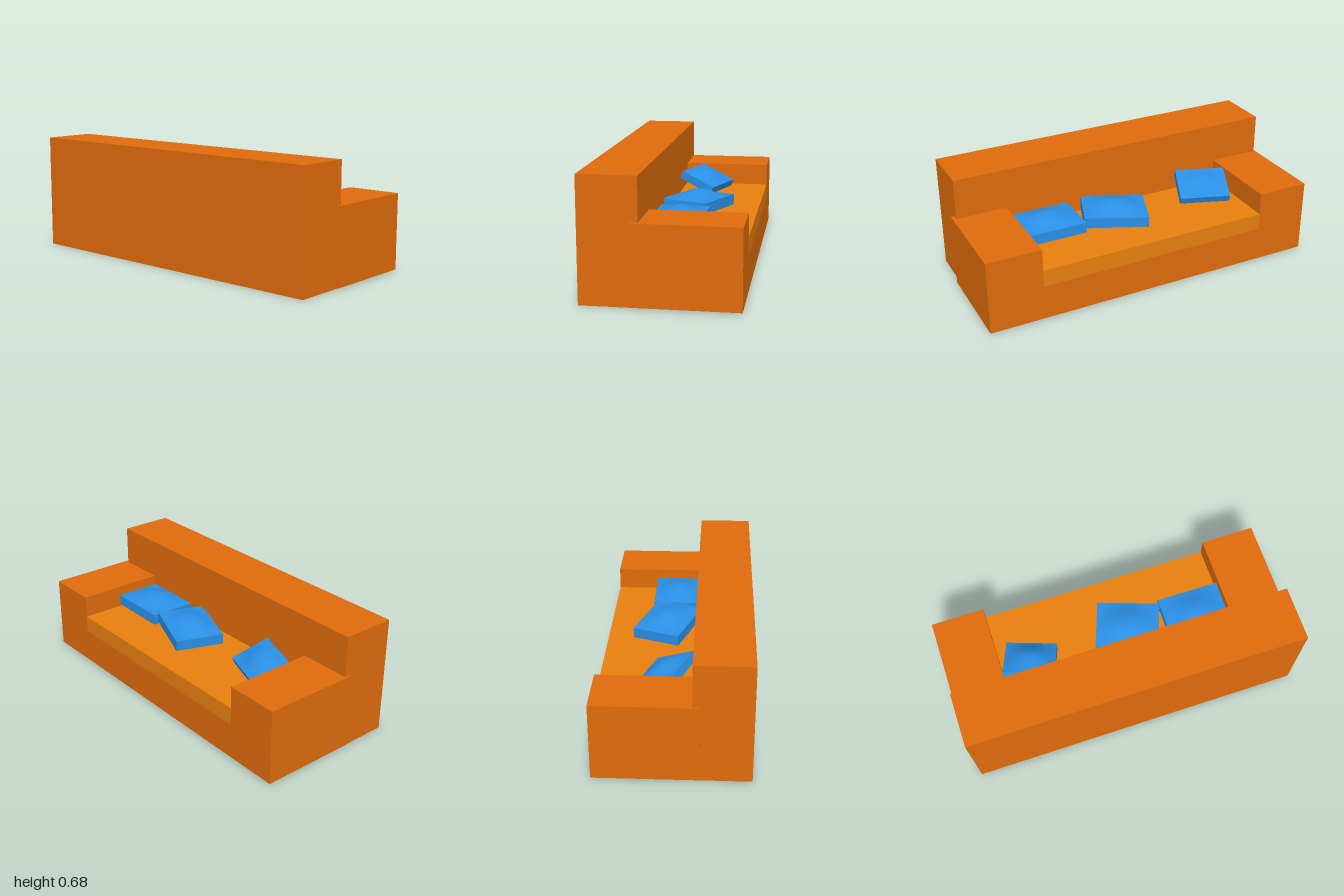
import * as THREE from 'three';

const material = (color) => new THREE.MeshStandardMaterial({ color });

// Box given by its lower and upper corners
function block(name, [x0, y0, z0], [x1, y1, z1], mat) {
  const mesh = new THREE.Mesh(new THREE.BoxGeometry(x1 - x0, y1 - y0, z1 - z0), mat);
  mesh.position.set((x0 + x1) / 2, (y0 + y1) / 2, (z0 + z1) / 2);
  mesh.name = name;
  return mesh;
}

// Cushion with square sides and a softly swollen top
function pillowGeometry(width, height, depth, swell) {
  const geo = new THREE.BoxGeometry(width, height, depth, 12, 1, 12);
  const p = geo.attributes.position;
  for (let i = 0; i < p.count; i++) {
    if (p.getY(i) < 0) continue;
    const u = Math.cos((Math.PI * p.getX(i)) / width);
    const v = Math.cos((Math.PI * p.getZ(i)) / depth);
    p.setY(i, height / 2 + swell * Math.pow(Math.max(0, u * v), 1.5));
  }
  geo.computeVertexNormals();
  return geo;
}

export function createModel() {
  const group = new THREE.Group();
  group.name = 'sofa';
  const frame = material(0xe06c0c);
  const seatFabric = material(0xe8800f);
  const blue = material(0x2a90e6);

  // Frame: tall back panel, low base and two arms
  group.add(block('backrest', [-0.99, 0, 0.105], [0.98, 0.675, 0.418], frame));
  group.add(block('base', [-0.69, 0.007, -0.418], [0.69, 0.21, 0.142], frame));
  group.add(block('rightArm', [-1, 0.007, -0.418], [-0.69, 0.44, 0.142], frame));
  group.add(block('leftArm', [0.685, 0.007, -0.418], [1, 0.44, 0.142], frame));

  // Seat cushion
  group.add(block('seat', [-0.69, 0.21, -0.418], [0.685, 0.31, 0.142], seatFabric));

  // Loose pillows: position, turn, tilt, roll and scale
  const geo = pillowGeometry(0.37, 0.062, 0.283, 0.045);
  const pillows = [
    ['leftPillow', [0.498, 0.352, -0.027], -0.01, 0, 0, 1],
    ['middlePillow', [0.093, 0.357, -0.072], -0.35, 0, 0.04, 1],
    ['rightPillow', [-0.515, 0.372, -0.049], -0.34, -0.39, 0, 0.81],
  ];
  for (const [name, pos, turn, tilt, roll, scale] of pillows) {
    const pillow = new THREE.Mesh(geo, blue);
    pillow.name = name;
    pillow.position.set(...pos);
    pillow.rotation.set(tilt, turn, roll, 'YXZ');
    pillow.scale.setScalar(scale);
    group.add(pillow);
  }
  return group;
}
